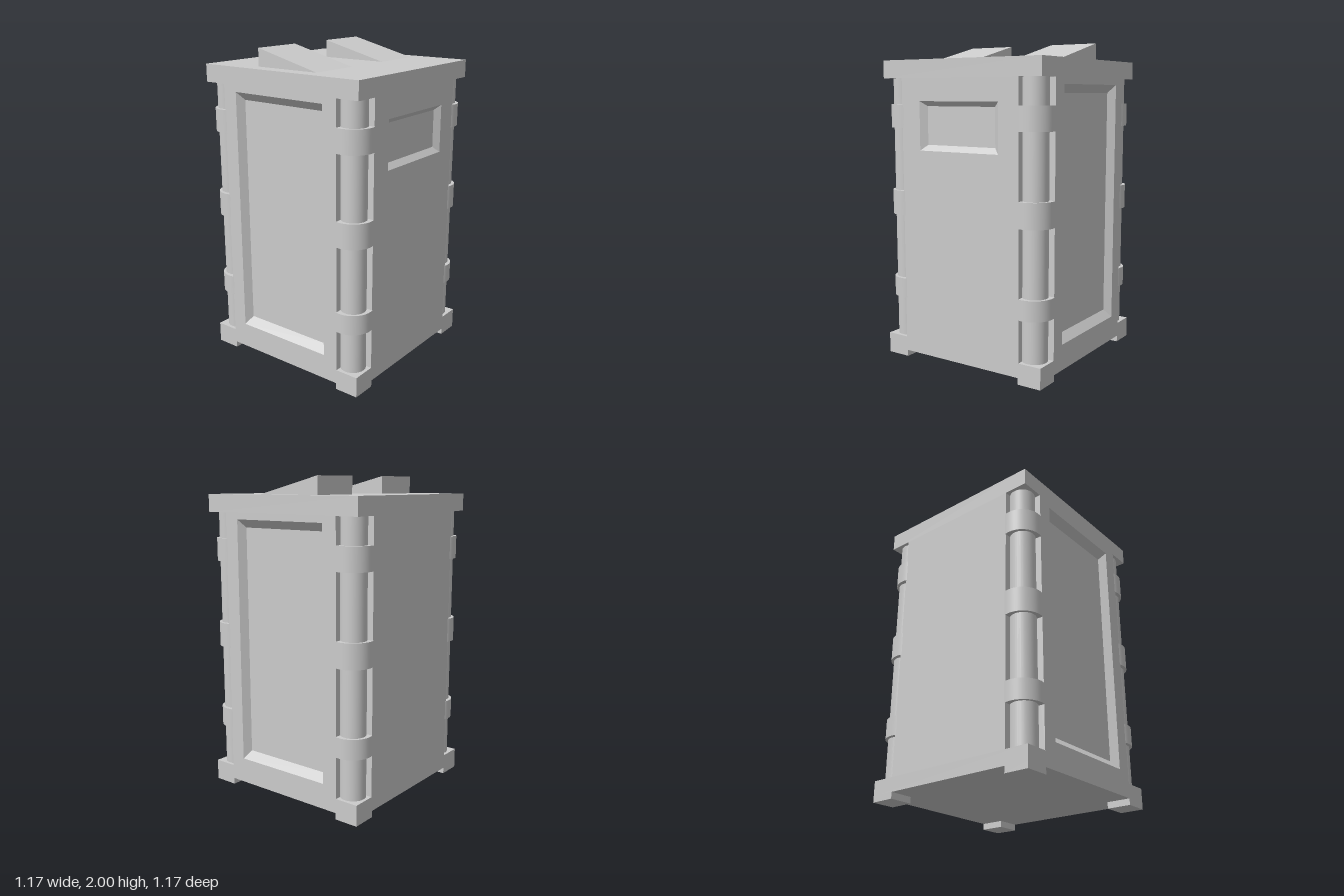
import * as THREE from 'three';

const material = new THREE.MeshStandardMaterial({ color: 0xcccccc });

function add(parent, name, geometry, x = 0, y = 0, z = 0) {
  const mesh = new THREE.Mesh(geometry, material);
  mesh.name = name;
  mesh.position.set(x, y, z);
  parent.add(mesh);
  return mesh;
}

const HALF = 0.58;           // half width of the crate
const INNER = 0.43;          // where the corner notches begin
const BASE = 0.13, CAP = 1.78, TOP = 1.89, FLOOR = 0.04;

// Skin through nested rectangles [halfWidth, bottom, top, z], closed by the last one
function nestedRectangles(loops) {
  const rings = loops.map(([w, y0, y1, z]) => [[-w, y0, z], [w, y0, z], [w, y1, z], [-w, y1, z]]);
  const points = [];
  const quad = (a, b, c, d) => points.push(...a, ...b, ...c, ...a, ...c, ...d);
  for (let r = 0; r + 1 < rings.length; r++) {
    for (let i = 0; i < 4; i++) {
      const j = (i + 1) % 4;
      quad(rings[r][i], rings[r][j], rings[r + 1][j], rings[r + 1][i]);
    }
  }
  quad(...rings[rings.length - 1]);
  const geometry = new THREE.BufferGeometry();
  geometry.setAttribute('position', new THREE.Float32BufferAttribute(points, 3));
  geometry.computeVertexNormals();
  return geometry;
}

// One wall block, optionally with a bevelled recess in its outer face
function addWall(parent, name, angle, recess = []) {
  const wall = add(parent, name, nestedRectangles([
    [INNER, BASE, CAP, INNER],
    [INNER, BASE, CAP, HALF],
    ...recess,
  ]));
  wall.rotation.y = angle;
}

export function createModel() {
  const model = new THREE.Group();
  model.name = 'crate';

  // Core, lid and base
  const box = (w, y0, y1) => new THREE.BoxGeometry(w, y1 - y0, w).translate(0, (y0 + y1) / 2, 0);
  add(model, 'core', box(2 * INNER, BASE, CAP));
  add(model, 'lid', box(2 * HALF, CAP, TOP));
  add(model, 'base', box(2 * HALF, FLOOR, BASE));

  // Walls: tall recess front and back, small one on the left, plain on the right
  const tall = [[0.333, 0.2, 1.74, HALF], [0.3, 0.25, 1.69, HALF - 0.045]];
  const small = [[0.29, 1.34, 1.64, HALF], [0.25, 1.375, 1.61, HALF - 0.03]];
  addWall(model, 'frontWall', 0, tall);
  addWall(model, 'backWall', Math.PI, tall);
  addWall(model, 'leftWall', Math.PI / 2, small);
  addWall(model, 'rightWall', -Math.PI / 2);

  // Corner posts with their bands and feet
  const post = new THREE.CylinderGeometry(0.078, 0.078, CAP - BASE, 32, 1, true);
  const foot = new THREE.BoxGeometry(0.155, FLOOR, 0.155);
  const bands = [[0.39, 0.515], [0.925, 1.08], [1.475, 1.62]];
  for (const sx of [-1, 1]) {
    for (const sz of [-1, 1]) {
      const corner = new THREE.Group();
      corner.name = 'corner';
      model.add(corner);
      add(corner, 'post', post, sx * 0.482, (BASE + CAP) / 2, sz * 0.482);
      add(corner, 'foot', foot, sx * (HALF - 0.0775), FLOOR / 2, sz * (HALF - 0.0775));
      for (const [y0, y1] of bands) {
        const band = new THREE.CylinderGeometry(0.126, 0.126, y1 - y0, 48);
        add(corner, 'band', band, sx * 0.46, (y0 + y1) / 2, sz * 0.46);
      }
    }
  }

  // Two wedges on the lid, high on the right and sloping down to the left
  const profile = new THREE.Shape([
    new THREE.Vector2(-0.225, TOP),
    new THREE.Vector2(0.22, TOP),
    new THREE.Vector2(-0.225, 2),
  ]);
  const wedge = new THREE.ExtrudeGeometry(profile, { depth: 0.33, bevelEnabled: false });
  wedge.translate(0, 0, -0.165);
  for (const sz of [-1, 1]) add(model, 'wedge', wedge, 0, 0, sz * 0.322);

  return model;
}
